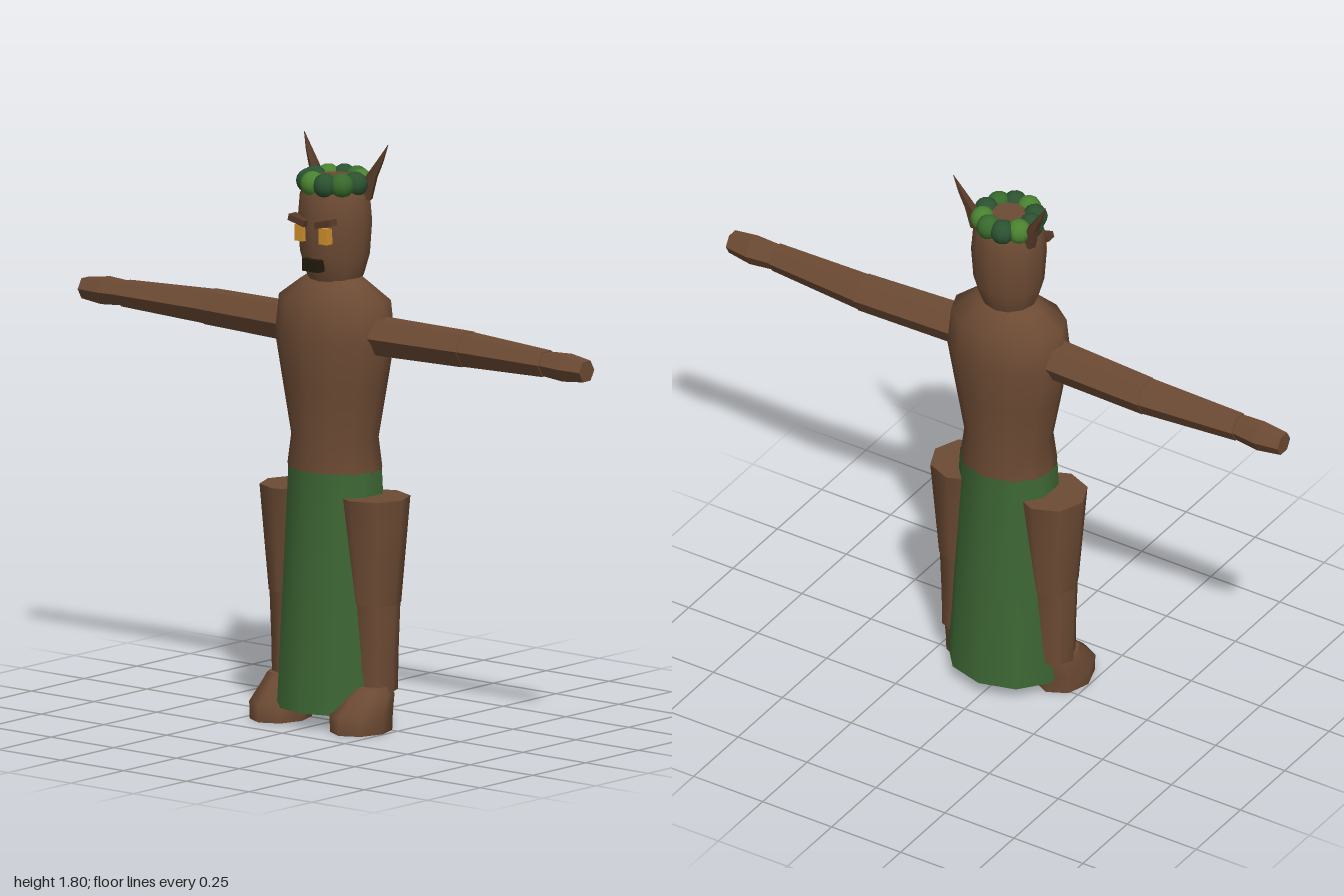
import * as THREE from 'three';

const mat = (name, color) => {
  const m = new THREE.MeshStandardMaterial({ color });
  m.name = name;
  return m;
};

// Closed or open skin over elliptical rings [y, rx, rz, cx, cz], smooth sides and sharp caps
function loft(rings, n, caps = true) {
  const pos = [], idx = [];
  const addRing = ([y, rx, rz, cx = 0, cz = 0]) => {
    const start = pos.length / 3;
    for (let i = 0; i < n; i++) {
      const a = (i / n) * Math.PI * 2;
      pos.push(cx + rx * Math.sin(a), y, cz + rz * Math.cos(a));
    }
    return start;
  };
  const starts = rings.map(addRing);
  for (let r = 0; r < rings.length - 1; r++) {
    for (let i = 0; i < n; i++) {
      const j = (i + 1) % n, a = starts[r], b = starts[r + 1];
      idx.push(a + i, a + j, b + j, a + i, b + j, b + i);
    }
  }
  if (caps) {
    const lo = addRing(rings[0]), hi = addRing(rings[rings.length - 1]);
    for (let i = 1; i < n - 1; i++) {
      idx.push(lo, lo + i + 1, lo + i, hi, hi + i, hi + i + 1);
    }
  }
  const g = new THREE.BufferGeometry();
  g.setAttribute('position', new THREE.Float32BufferAttribute(pos, 3));
  g.setIndex(idx);
  g.computeVertexNormals();
  return g;
}

function faceted(g) {
  const f = g.toNonIndexed();
  f.computeVertexNormals();
  return f;
}

export function createModel() {
  const root = new THREE.Group();
  root.name = 'woodlandFigure';
  const bark = mat('bark brown', 0x6d4b34);
  const darkBark = mat('dark bark', 0x573a28);
  const cloth = mat('skirt green', 0x3d6634);
  cloth.side = THREE.DoubleSide;
  const amber = mat('amber', 0xd0912c);
  const mouthDark = mat('mouth dark', 0x231c0c);
  const leaves = [mat('dark leaf', 0x2b5230), mat('light leaf', 0x4a8230), mat('mid leaf', 0x386a2c)];

  const add = (name, geometry, material, parent = root) => {
    const m = new THREE.Mesh(geometry, material);
    m.name = name;
    parent.add(m);
    return m;
  };

  // Body, tapering to the waist
  add('torso', loft([
    [0.74, 0.145, 0.125], [0.8, 0.153, 0.134], [0.89, 0.14, 0.126], [1.05, 0.172, 0.14],
    [1.2, 0.2, 0.156], [1.32, 0.19, 0.14], [1.375, 0.115, 0.08], [1.4, 0.07, 0.06],
  ], 12), bark);
  add('skirt', loft([[0.05, 0.195, 0.172], [0.795, 0.157, 0.138]], 10, false), cloth);

  // Head and face
  add('head', loft([
    [1.365, 0.08, 0.07], [1.4, 0.094, 0.086], [1.46, 0.11, 0.105], [1.56, 0.117, 0.112],
    [1.64, 0.11, 0.106], [1.685, 0.085, 0.082], [1.7, 0.05, 0.05],
  ], 12), bark);
  const mouth = add('mouth', new THREE.BoxGeometry(0.064, 0.038, 0.03), mouthDark);
  mouth.position.set(0, 1.434, 0.103);

  // Leaf crown
  const crown = new THREE.Group();
  crown.name = 'leafCrown';
  root.add(crown);
  const order = [1, 0, 2, 0, 1, 2, 0, 1, 0, 0];
  order.forEach((c, i) => {
    const a = -0.3 + (i / order.length) * Math.PI * 2;
    const ball = add('leafCluster', new THREE.SphereGeometry(0.039, 10, 8), leaves[c], crown);
    ball.position.set(0.08 * Math.sin(a), 1.68, 0.08 * Math.cos(a));
  });

  for (const s of [1, -1]) {
    const side = s > 0 ? 'left' : 'right';

    // Eyes and slanted brows
    const eye = add(side + 'Eye', new THREE.BoxGeometry(0.032, 0.05, 0.03), amber);
    eye.position.set(s * 0.048, 1.53, 0.101);
    const brow = add(side + 'Brow', new THREE.BoxGeometry(0.064, 0.02, 0.034), darkBark);
    brow.position.set(s * 0.052, 1.569, 0.106);
    brow.rotation.z = s * 0.25;

    // Pointed horn leaning outward
    add(side + 'Horn', faceted(loft([
      [1.63, 0.022, 0.018, s * 0.095, -0.035], [1.7, 0.021, 0.018, s * 0.112, -0.04],
      [1.75, 0.012, 0.012, s * 0.14, -0.046], [1.805, 0.001, 0.001, s * 0.167, -0.053],
    ], 5)), darkBark);

    // Arm segments run outward along x
    const limb = (name, rings) => {
      const g = faceted(loft(rings.map(([x, r, y, z]) => [x, r, r, -s * y, z]), 6));
      add(side + name, g.rotateZ(-s * Math.PI / 2), bark);
    };
    limb('UpperArm', [[0.15, 0.064, 1.22, -0.003], [0.515, 0.059, 1.22, -0.019]]);
    limb('Forearm', [[0.51, 0.057, 1.22, -0.019], [0.84, 0.044, 1.22, -0.006]]);
    limb('Hand', [[0.835, 0.04, 1.22, -0.006], [0.92, 0.046, 1.218, -0.008], [1, 0.036, 1.217, -0.005]]);

    // Legs
    add(side + 'Thigh', loft([
      [0.39, 0.08, 0.08, s * 0.16, 0], [0.55, 0.096, 0.096, s * 0.157, 0], [0.72, 0.112, 0.112, s * 0.155, 0],
    ], 8), bark);
    add(side + 'Shin', loft([
      [0.12, 0.066, 0.066, s * 0.165, 0], [0.25, 0.07, 0.07, s * 0.163, 0], [0.4, 0.078, 0.078, s * 0.16, 0],
    ], 8), bark);

    // Foot sloping up to the ankle
    add(side + 'Foot', loft([
      [0, 0.086, 0.106, s * 0.16, 0.066], [0.055, 0.088, 0.108, s * 0.16, 0.066],
      [0.11, 0.075, 0.08, s * 0.164, 0.032], [0.137, 0.058, 0.052, s * 0.172, 0.03],
    ], 8), bark);
  }
  return root;
}
